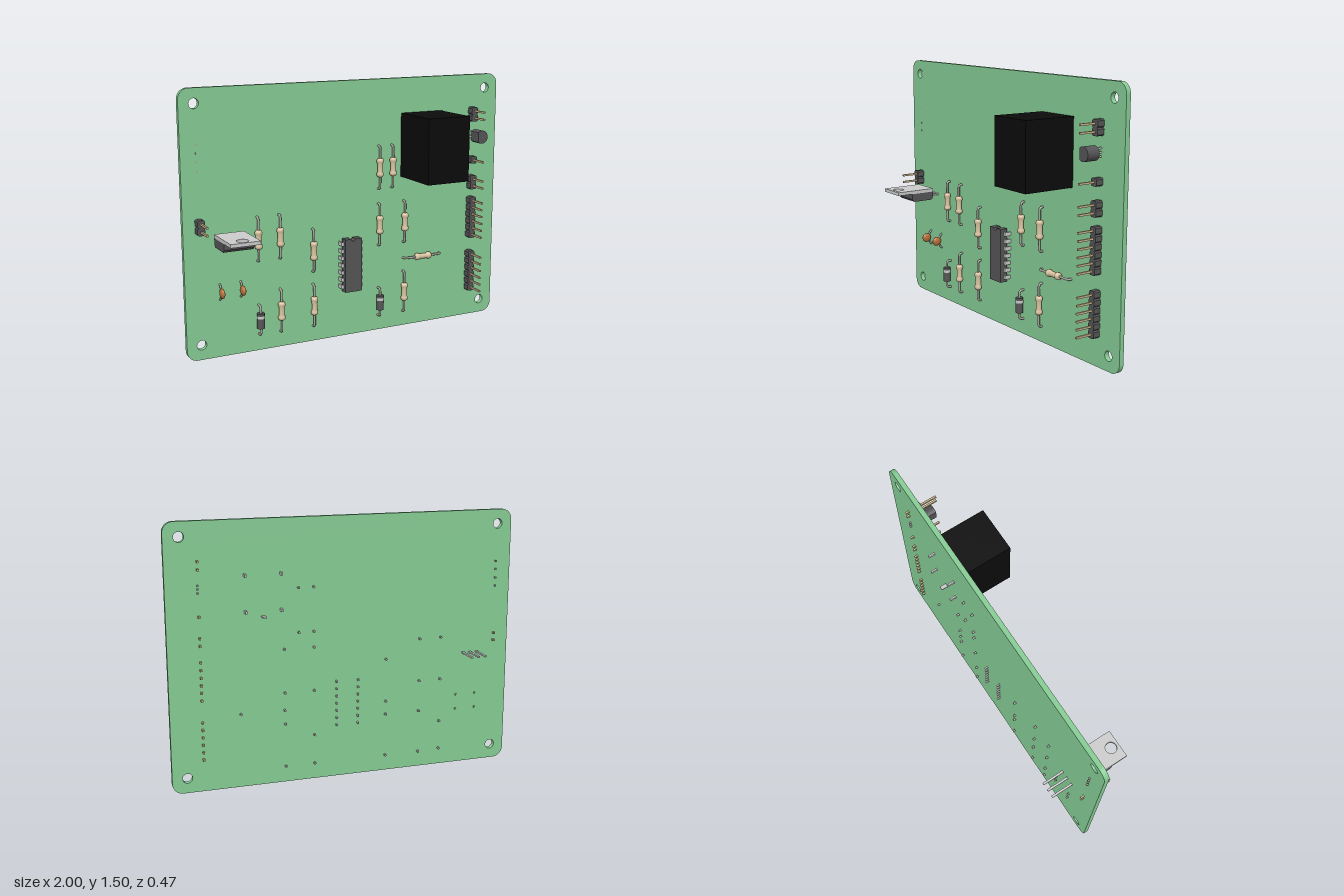
import * as THREE from 'three';

const mat = (color, side = THREE.FrontSide) => new THREE.MeshStandardMaterial({ color, side });
const M = {
  board: mat(0x86cc94), black: mat(0x0b0b0b), dark: mat(0x555557), tan: mat(0xd9c3a0),
  gold: mat(0xc9b48a), wire: mat(0xa5a59c), metal: mat(0xcccccc), orange: mat(0xb8713a),
};
const BACK = -0.103, FRONT = -0.075, PITCH = 0.0427;

function add(parent, name, geo, material, x = 0, y = 0, z = 0) {
  const m = new THREE.Mesh(geo, material);
  m.name = name;
  m.position.set(x, y, z);
  parent.add(m);
  return m;
}

function group(parent, name, x = 0, y = 0, z = 0) {
  const g = new THREE.Group();
  g.name = name;
  g.position.set(x, y, z);
  parent.add(g);
  return g;
}

// Straight square pin along z
const pin = (parent, name, x, y, z0, z1, w, h, material) =>
  add(parent, name, new THREE.BoxGeometry(w, h, z1 - z0), material, x, y, (z0 + z1) / 2);

const hole = (x, y, r) => new THREE.Path().absarc(x, y, r, 0, Math.PI * 2, true);
const polygon = pts => new THREE.Shape(pts.map(p => new THREE.Vector2(...p)));
const extrude = (shape, depth, curveSegments = 12) =>
  new THREE.ExtrudeGeometry(shape, { depth, bevelEnabled: false, curveSegments });

// Rounded board with four mounting holes
function board(parent) {
  const r = 0.06, s = new THREE.Shape();
  s.absarc(1 - r, r, r, -Math.PI / 2, 0);
  s.absarc(1 - r, 1.5 - r, r, 0, Math.PI / 2);
  s.absarc(-1 + r, 1.5 - r, r, Math.PI / 2, Math.PI);
  s.absarc(-1 + r, r, r, Math.PI, Math.PI * 1.5);
  for (const x of [-0.915, 0.915]) for (const y of [0.085, 1.418]) s.holes.push(hole(x, y, 0.028));
  add(parent, 'board', extrude(s, FRONT - BACK), M.board, 0, 0, BACK);
}

// Wire along y that bends back through the board at its outer end
function bentLead(parent, dir, inner, outer, z) {
  const b = 0.018;
  const path = new THREE.CurvePath();
  const v = (y, zz) => new THREE.Vector3(0, dir * y, zz);
  path.add(new THREE.LineCurve3(v(inner, 0), v(outer - b, 0)));
  path.add(new THREE.QuadraticBezierCurve3(v(outer - b, 0), v(outer, 0), v(outer, -b)));
  path.add(new THREE.LineCurve3(v(outer, -b), v(outer, -0.118 - z)));
  add(parent, 'lead', new THREE.TubeGeometry(path, 20, 0.007, 8), M.wire);
  const cap = add(parent, 'leadEnd', new THREE.CircleGeometry(0.007, 8), M.wire, 0, dir * outer, -0.118 - z);
  cap.rotation.y = Math.PI;
}

function resistor(parent, x, y, horizontal = false) {
  const z = -0.053, g = group(parent, 'resistor', x, y, z);
  const profile = [[0, -0.054], [0.013, -0.054], [0.019, -0.049], [0.021, -0.042], [0.021, -0.032],
    [0.016, -0.024], [0.016, 0.024], [0.021, 0.032], [0.021, 0.042], [0.019, 0.049], [0.013, 0.054], [0, 0.054]];
  add(g, 'resistorBody', new THREE.LatheGeometry(profile.map(p => new THREE.Vector2(...p)), 20), M.tan);
  for (const d of [-1, 1]) bentLead(g, d, 0.05, 0.125, z);
  if (horizontal) g.rotation.z = Math.PI / 2;
}

function diode(parent, x, y) {
  const z = -0.045, g = group(parent, 'diode', x, y, z);
  add(g, 'diodeBody', new THREE.CylinderGeometry(0.022, 0.022, 0.088, 20), M.dark);
  add(g, 'diodeBand', new THREE.CylinderGeometry(0.0226, 0.0226, 0.016, 20, 1, true), M.metal, 0, 0.022);
  for (const d of [-1, 1]) bentLead(g, d, 0.04, 0.085, z);
}

// Row of chamfered pin blocks, one pin in each
function header(parent, x, y, count) {
  const g = group(parent, 'pinHeader', x, y);
  const a = PITCH / 2, c = 0.014;
  const block = extrude(polygon([[-a, -c], [-c, -a], [c, -a], [a, -c], [a, c], [c, a], [-c, a], [-a, c]]), 0.043);
  for (let i = 0; i < count; i++) {
    const py = (i - (count - 1) / 2) * PITCH;
    add(g, 'headerBlock', block, M.dark, 0, py, FRONT);
    pin(g, 'headerPin', 0, py, -0.123, 0.067, 0.011, 0.011, M.gold);
  }
}

// Dual in-line chip with seven legs on each side
function chip(parent) {
  const g = group(parent, 'chip', -0.006, 0.438);
  const s = polygon([[-0.053, -0.158], [0.053, -0.158], [0.053, 0.158], [0.013, 0.158]]);
  s.absarc(0, 0.158, 0.013, 0, Math.PI, true);
  s.lineTo(-0.053, 0.158);
  add(g, 'chipBody', extrude(s, 0.046), M.dark, 0, 0, -0.06);
  for (const d of [-1, 1]) for (let i = -3; i <= 3; i++) {
    add(g, 'chipLegTop', new THREE.BoxGeometry(0.02, 0.022, 0.008), M.metal, d * 0.058, i * PITCH, -0.038);
    pin(g, 'chipLeg', d * 0.064, i * PITCH, FRONT, -0.034, 0.008, 0.022, M.metal);
    pin(g, 'chipLegTip', d * 0.064, i * PITCH, -0.123, FRONT, 0.008, 0.01, M.metal);
  }
}

// Relay cube with five solder pins
function relay(parent) {
  const g = group(parent, 'relay');
  add(g, 'relayCase', new THREE.BoxGeometry(0.27, 0.375, 0.31), M.black, 0.472, 1.109, 0.08);
  for (const [x, y] of [[0.372, 1.2], [0.572, 1.2], [0.372, 1], [0.572, 1], [0.472, 0.968]])
    pin(g, 'relayPin', x, y, -0.14, FRONT, x === 0.472 ? 0.022 : 0.01, x === 0.472 ? 0.008 : 0.016, M.metal);
}

// Power regulator standing out of the board, tab uppermost
function regulator(parent) {
  const g = group(parent, 'regulator', -0.762);
  const tab = polygon([[-0.085, -0.235], [0.085, -0.235], [0.085, 0.012], [-0.085, 0.012]]);
  tab.holes.push(hole(0, -0.187, 0.033));
  const t = add(g, 'regulatorTab', extrude(tab, 0.02), M.metal, 0, 0.701, 0);
  t.rotation.x = -Math.PI / 2;
  const body = polygon([[0.012, 0.701], [0.012, 0.667], [0, 0.651], [-0.122, 0.651], [-0.138, 0.667], [-0.138, 0.701]].reverse());
  const b = add(g, 'regulatorBody', extrude(body, 0.17), M.dark, -0.085, 0, 0);
  b.rotation.y = Math.PI / 2;
  for (const i of [-1, 0, 1]) {
    pin(g, 'regulatorLegWide', i * PITCH, 0.672, -0.06, -0.01, 0.024, 0.008, M.metal);
    pin(g, 'regulatorLeg', i * PITCH, 0.672, -0.235, -0.06, 0.013, 0.009, M.metal);
  }
}

// Small transistor with a flat side
function transistor(parent) {
  const g = group(parent, 'transistor', 0.825, 1.137);
  const s = new THREE.Shape().absarc(0, 0, 0.039, -2.3, 2.3);
  add(g, 'transistorBody', extrude(s, 0.076, 24), M.dark, 0, 0, -0.031);
  for (const i of [-1, 0, 1]) pin(g, 'transistorLead', 0, i * 0.021, -0.115, -0.031, 0.009, 0.009, M.metal);
}

// Disc capacitor, edge-on to the front
function capacitor(parent, x) {
  const g = group(parent, 'capacitor', x, 0.376, -0.037);
  add(g, 'capacitorDisc', new THREE.SphereGeometry(1, 20, 14), M.orange).scale.set(0.014, 0.028, 0.03);
  for (const d of [-1, 1]) {
    const pts = [[0.01, -0.012], [0.03, -0.024], [0.043, -0.036], [0.043, -0.081]];
    const curve = new THREE.CatmullRomCurve3(pts.map(([y, z]) => new THREE.Vector3(0, d * y, z)));
    add(g, 'capacitorLead', new THREE.TubeGeometry(curve, 12, 0.006, 8), M.wire);
  }
}

export function createModel() {
  const model = new THREE.Group();
  model.name = 'circuitBoard';
  board(model);
  for (const [x, y] of [[-0.576, 0.65], [-0.445, 0.65], [-0.24, 0.545], [-0.445, 0.218], [-0.24, 0.218],
    [0.187, 0.65], [0.357, 0.65], [0.357, 0.218], [0.187, 0.99], [0.273, 0.99]]) resistor(model, x, y);
  resistor(model, 0.484, 0.425, true);
  diode(model, -0.576, 0.183);
  diode(model, 0.187, 0.178);
  for (const [x, y, n] of [[0.823, 0.292, 6], [0.823, 0.631, 6], [0.823, 0.85, 2], [0.823, 0.988, 1],
    [0.823, 1.264, 2], [-0.91, 0.756, 2]]) header(model, x, y, n);
  chip(model);
  relay(model);
  regulator(model);
  transistor(model);
  for (const x of [-0.802, -0.68]) capacitor(model, x);
  // Row of small contacts on the left
  for (let i = 0; i < 4; i++) pin(model, 'contact', -0.91, 1.058 + i * 0.048, -0.112, -0.073, 0.01, 0.01, M.wire);
  return model;
}
